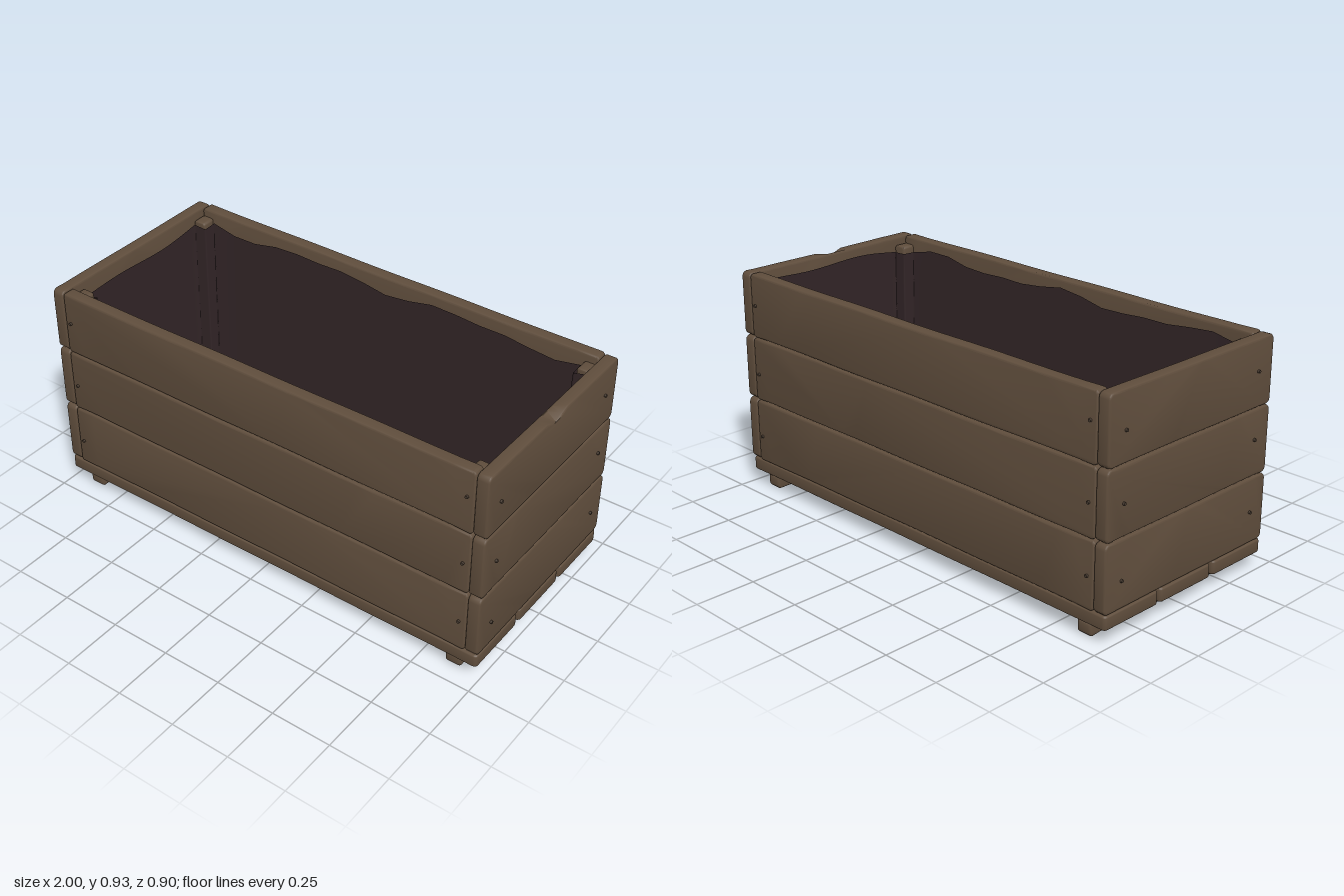
import * as THREE from 'three';
import { toCreasedNormals } from 'three/addons/utils/BufferGeometryUtils.js';

const wood = new THREE.MeshStandardMaterial({ color: 0x5f4d3c });
wood.name = 'brown wood';
const cloth = new THREE.MeshStandardMaterial({ color: 0x312426, side: THREE.DoubleSide });
cloth.name = 'dark liner';
const metal = new THREE.MeshStandardMaterial({ color: 0x463a30 });
metal.name = 'dark screw';

// Worn plank: a rounded outline with slightly uneven long edges, extruded with a soft bevel
function plankGeometry(w, h, t, seed, { wear = 0.003, radius = 0.01, bevel = 0.008, chip = 0 } = {}) {
  const hw = w / 2 - bevel, hh = h / 2 - bevel, n = 24, pts = [];
  const uneven = (x, s) => wear * (0.5 + 0.5 * Math.sin(x * 6 + s * 2.3) * Math.cos(x * 3.7 + s));
  const corner = (cx, cy, start) => {
    for (let i = 0; i <= 3; i++) {
      const a = start + (i / 3) * Math.PI / 2;
      pts.push(new THREE.Vector2(cx + radius * Math.cos(a), cy + radius * Math.sin(a)));
    }
  };
  const edge = (dir, y) => {
    for (let i = 1; i < n; i++) {
      const x = dir * (-1 + 2 * i / n) * (hw - radius);
      pts.push(new THREE.Vector2(x, y - Math.sign(y) * uneven(x, seed + dir)));
    }
  };
  edge(1, -hh);
  corner(hw - radius, -hh + radius, -Math.PI / 2);
  corner(hw - radius, hh - radius, 0);
  edge(-1, hh);
  corner(-hw + radius, hh - radius, Math.PI / 2);
  corner(-hw + radius, -hh + radius, Math.PI);
  const geo = new THREE.ExtrudeGeometry(new THREE.Shape(pts), {
    depth: t - 2 * bevel, bevelEnabled: true, bevelThickness: bevel, bevelSize: bevel, bevelSegments: 3
  });
  geo.translate(0, 0, -t / 2 + bevel);
  // Chip knocked out of the outer top edge
  const p = geo.attributes.position;
  for (let i = 0; chip && i < p.count; i++) {
    const near = 1 - Math.abs(p.getX(i)) / 0.06;
    if (near > 0 && p.getY(i) > hh - 0.02 && p.getZ(i) > 0) p.setY(i, p.getY(i) - chip * near);
  }
  return toCreasedNormals(geo, 0.6);
}

function add(parent, name, geo, mat, x, y, z) {
  const mesh = new THREE.Mesh(geo, mat);
  mesh.name = name;
  mesh.position.set(x, y, z);
  parent.add(mesh);
  return mesh;
}

// One wall of three stacked boards with a pair of screws in each
function wall(name, width, distance, angle, screwX, seed, heights, options) {
  const group = new THREE.Group();
  group.name = name;
  const screw = new THREE.CylinderGeometry(0.006, 0.007, 0.016, 10).rotateX(Math.PI / 2);
  [0.253, 0.525, 0.796].forEach((y, i) => {
    const chip = i === 2 ? options.chip : 0;
    add(group, 'board', plankGeometry(width, 0.268, 0.052, seed + i, { ...options, chip }), wood,
      0, y, distance - 0.026);
    for (const s of [-1, 1]) {
      add(group, 'screw', screw, metal, s * screwX, heights[i] + s * 0.01, distance);
    }
  });
  group.rotation.y = angle;
  return group;
}

// Liner outline stepping around the four corner posts
function linerOutline(w, d, step) {
  const quarter = [[w, 0], [w, d - step], [w - step, d - step], [w - step, d], [0, d]];
  const corners = [];
  for (const [sx, sz] of [[1, 1], [-1, 1], [-1, -1], [1, -1]]) {
    const part = sx * sz > 0 ? quarter : [...quarter].reverse();
    part.slice(0, 4).forEach(([x, z]) => corners.push([x * sx, z * sz]));
  }
  const out = [];
  corners.forEach(([x, z], i) => {
    const [nx, nz] = corners[(i + 1) % corners.length];
    for (let k = 0; k < 8; k++) out.push([x + (nx - x) * k / 8, z + (nz - z) * k / 8]);
  });
  return out;
}

function liner() {
  const group = new THREE.Group();
  group.name = 'liner';
  const ring = linerOutline(0.928, 0.384, 0.058), rows = 6, n = ring.length;
  const pos = [], index = [];
  // Cloth walls with a wavy top edge, leaning in towards the floor
  for (let r = 0; r <= rows; r++) {
    const f = r / rows;
    ring.forEach(([x, z]) => {
      const top = 0.875 + 0.014 * Math.sin(x * 9 + z * 4) + 0.008 * Math.sin(x * 17 - z * 11);
      const lean = 0.035 * f;
      pos.push(x * (1 - lean * 0.6), top + (0.13 - top) * f, z * (1 - lean * 1.8));
    });
  }
  for (let r = 0; r < rows; r++) {
    for (let i = 0; i < n; i++) {
      const a = r * n + i, b = r * n + (i + 1) % n;
      index.push(a, b, a + n, b, b + n, a + n);
    }
  }
  const sides = new THREE.BufferGeometry();
  sides.setAttribute('position', new THREE.Float32BufferAttribute(pos, 3));
  sides.setIndex(index);
  sides.computeVertexNormals();
  add(group, 'linerSides', sides, cloth, 0, 0, 0);
  const floor = new THREE.Shape(ring.map(([x, z]) => new THREE.Vector2(x * 0.979, -z * 0.937)));
  add(group, 'linerFloor', new THREE.ShapeGeometry(floor).rotateX(-Math.PI / 2), cloth, 0, 0.13, 0);
  return group;
}

export function createModel() {
  const model = new THREE.Group();
  model.name = 'planter';

  // Long walls sit between the end walls
  const longOptions = { wear: 0.004, radius: 0.008, chip: 0 };
  const longHeights = [0.24, 0.515, 0.81];
  model.add(wall('frontWall', 1.872, 0.443, 0, 0.908, 1, longHeights, longOptions));
  model.add(wall('backWall', 1.872, 0.443, Math.PI, 0.908, 5, longHeights, longOptions));
  const endHeights = [0.24, 0.53, 0.795];
  const endOptions = { wear: 0.003, radius: 0.014 };
  model.add(wall('leftWall', 0.888, 0.99, Math.PI / 2, 0.36, 9, endHeights, { ...endOptions, chip: 0.03 }));
  model.add(wall('rightWall', 0.888, 0.99, -Math.PI / 2, 0.36, 13, endHeights, { ...endOptions, chip: 0 }));

  // Base planks
  [0.3, 0.001, -0.295].forEach((z, i) => {
    const geo = plankGeometry(1.98, 0.284, 0.056, 20 + i, { radius: 0.008 }).rotateX(-Math.PI / 2);
    add(model, 'basePlank', geo, wood, 0, 0.088, z);
  });

  for (const sx of [-1, 1]) {
    // Bearer feet across the underside
    const foot = plankGeometry(0.844, 0.062, 0.064, 30 + sx, { radius: 0.01, bevel: 0.009 });
    add(model, 'foot', foot.rotateY(Math.PI / 2), wood, sx * 0.88, 0.031, 0);
    // Corner posts inside
    for (const sz of [-1, 1]) {
      const post = plankGeometry(0.78, 0.056, 0.06, 40 + sx + sz, { wear: 0.002, radius: 0.006, bevel: 0.006 });
      add(model, 'cornerPost', post.rotateZ(Math.PI / 2), wood, sx * 0.907, 0.508, sz * 0.362);
    }
  }

  model.add(liner());
  return model;
}
